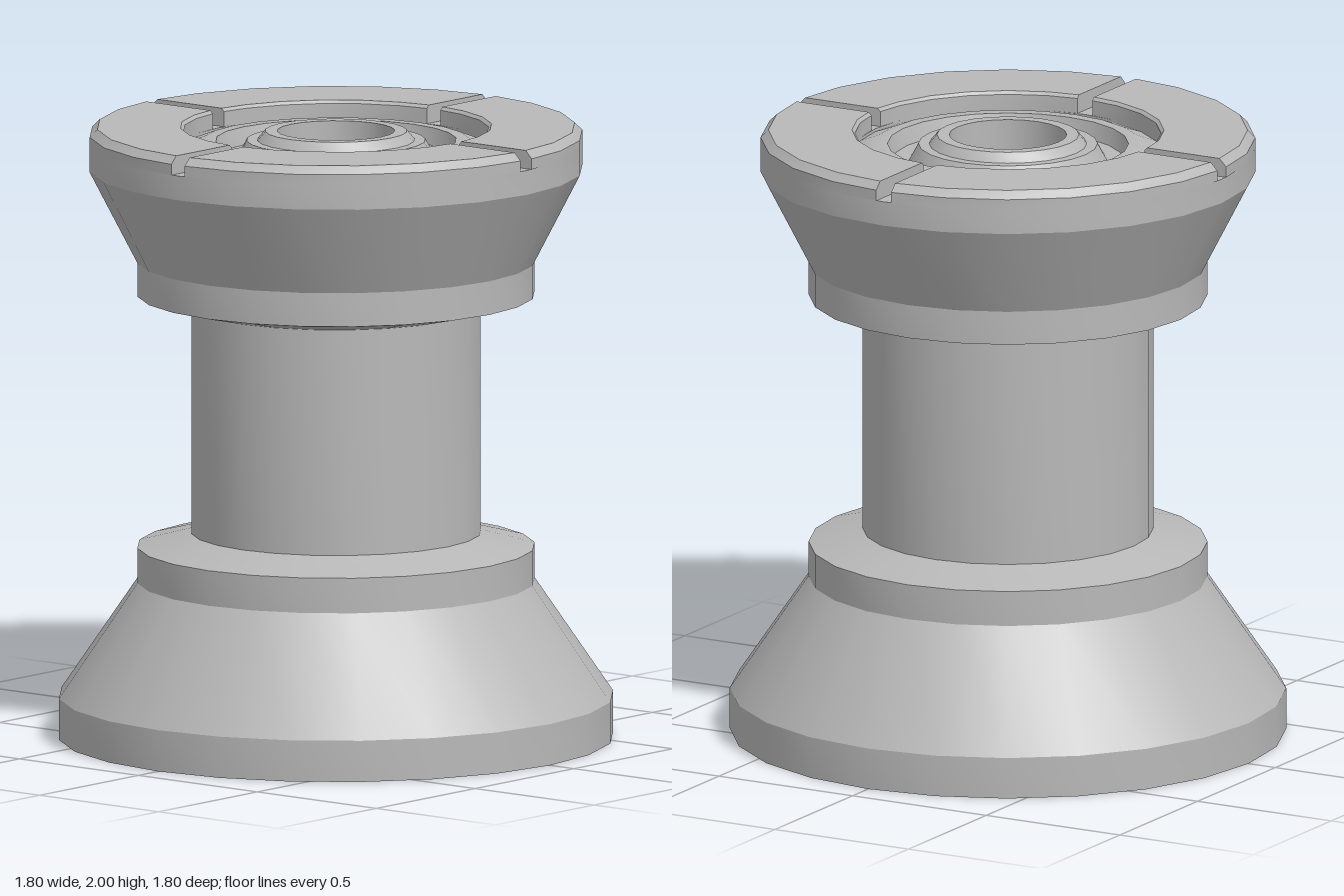
import * as THREE from 'three';
import { toCreasedNormals } from 'three/addons/utils/BufferGeometryUtils.js';

const SIDES = 24;
const CREASE = 0.38;
const SLOT_HALF = 0.028;

const grey = new THREE.MeshStandardMaterial({ color: 0xb8b8b8 });
grey.name = 'plain grey';

function addMesh(parent, name, geometry) {
  const mesh = new THREE.Mesh(geometry, grey);
  mesh.name = name;
  parent.add(mesh);
  return mesh;
}

// Round part turned from [radius, height] points, with sharp profile edges
function turned(points) {
  const profile = points.map(([r, y]) => new THREE.Vector2(r, y));
  return toCreasedNormals(new THREE.LatheGeometry(profile, SIDES), CREASE);
}

// Quarter of the top rim: a closed profile swept between two parallel-sided slots
function rimQuarter(loop) {
  const steps = SIDES / 4;
  const columns = [];
  for (let i = 0; i <= steps; i++) {
    columns.push(loop.map(([r, y]) => {
      const trim = Math.asin(SLOT_HALF / r);
      let a = (i / steps) * Math.PI / 2;
      if (i === 0) a = trim;
      if (i === steps) a = Math.PI / 2 - trim;
      return [r * Math.sin(a), y, r * Math.cos(a)];
    }));
  }
  const positions = [];
  const tri = (a, b, c) => positions.push(...a, ...b, ...c);
  const n = loop.length;
  for (let i = 0; i < steps; i++) {
    for (let j = 0; j < n; j++) {
      const k = (j + 1) % n;
      const [c, d] = [columns[i], columns[i + 1]];
      tri(c[j], d[j], d[k]);
      tri(c[j], d[k], c[k]);
    }
  }
  // End faces along the slots
  for (let j = 1; j < n - 1; j++) {
    const [c, d] = [columns[0], columns[steps]];
    tri(c[0], c[j], c[j + 1]);
    tri(d[0], d[j + 1], d[j]);
  }
  const geometry = new THREE.BufferGeometry();
  geometry.setAttribute('position', new THREE.Float32BufferAttribute(positions, 3));
  return toCreasedNormals(geometry, CREASE);
}

export function createModel() {
  const model = new THREE.Group();
  model.name = 'flangedSpool';

  // Wide foot, narrow drum and flared head
  addMesh(model, 'body', turned([
    [0.495, 0.1], [0.495, 0.01], [0.505, 0], [0.9, 0], [0.9, 0.135],
    [0.645, 0.51], [0.645, 0.625], [0.47, 0.67],
    [0.47, 1.41], [0.645, 1.45], [0.645, 1.56],
    [0.8, 1.86], [0.8, 1.94], [0.495, 1.94], [0.495, 1.9],
  ]));

  // Top rim, divided by four slots
  const quarter = rimQuarter([
    [0.495, 1.94], [0.8, 1.94], [0.8, 1.975], [0.775, 2], [0.505, 2], [0.495, 1.99],
  ]);
  for (let i = 0; i < 4; i++) {
    addMesh(model, 'rimQuarter' + (i + 1), quarter).rotation.y = i * Math.PI / 2;
  }

  // Stepped bearing in each end, with half of the through bore
  const bearing = turned([
    [0.495, -0.07], [0.43, -0.045], [0.39, -0.045], [0.375, -0.1],
    [0.32, -0.1], [0.29, -0.045], [0.255, -0.045], [0.23, -0.015],
    [0.19, -0.015], [0.19, -1],
  ]);
  addMesh(model, 'topBearing', bearing).position.y = 2;
  addMesh(model, 'bottomBearing', bearing).rotation.x = Math.PI;

  return model;
}
